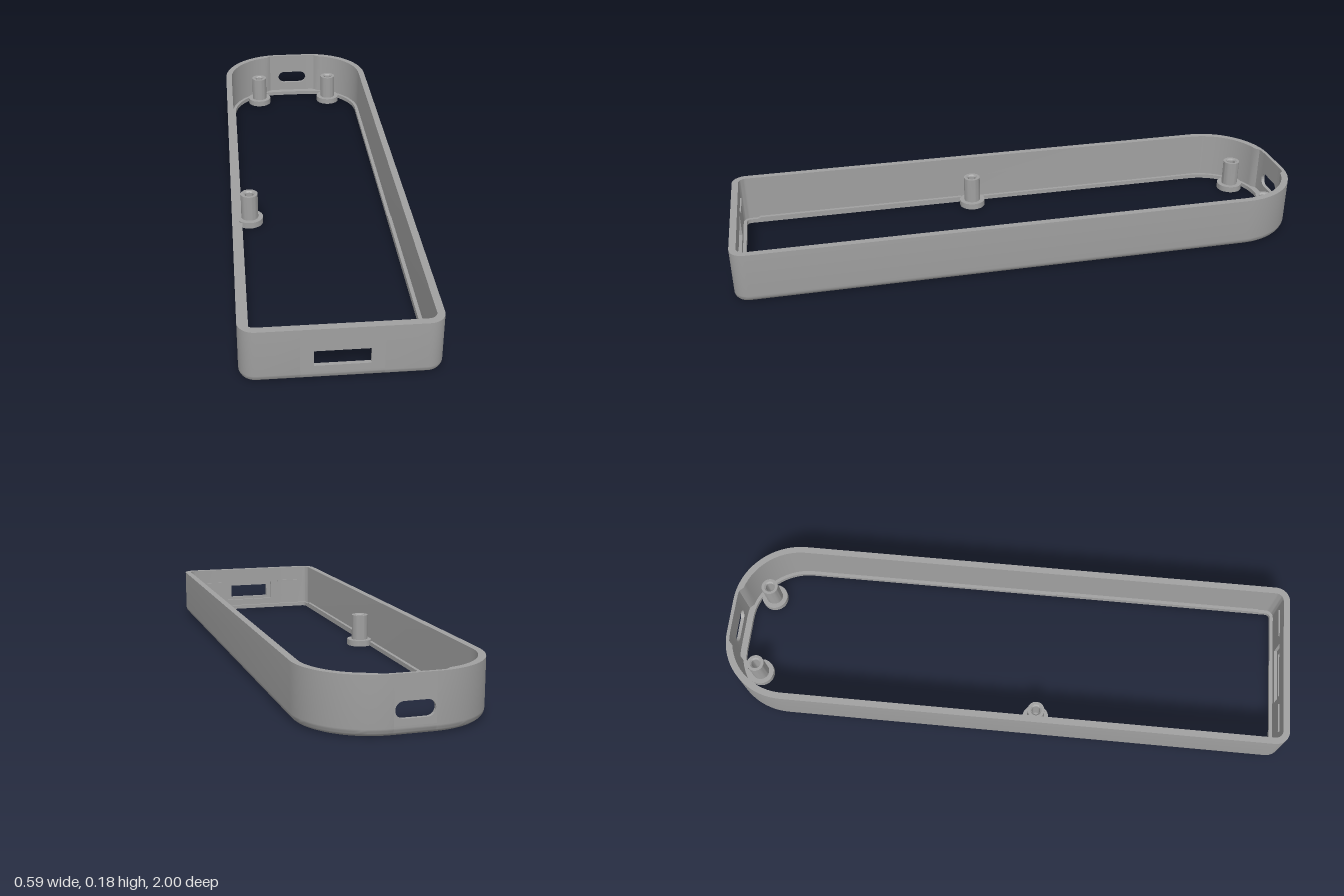
import * as THREE from 'three';
import { toCreasedNormals } from 'three/addons/utils/BufferGeometryUtils.js';

const H = 0.178, HALF_W = 0.293;
const WALL = 0.023, THIN = 0.012, LEDGE = 0.035, LEDGE_H = 0.015, SILL = 0.03;
const FRONT_WIN = 0.12, BACK_FLAT = 0.063, BACK_R = 0.23, FRONT_R = 0.05;

export function createModel() {
  const group = new THREE.Group();
  group.name = 'deviceFrame';
  const grey = new THREE.MeshStandardMaterial({ color: 0xa0a0a0 });
  grey.name = 'plasticGrey';

  const add = (name, geometry, x = 0, y = 0, z = 0) => {
    const mesh = new THREE.Mesh(geometry, grey);
    mesh.name = name;
    mesh.position.set(x, y, z);
    group.add(mesh);
    return mesh;
  };

  // Cross-section as [inset, y]: rounded bottom edge, wall, inner ledge
  const section = (thick, top) => {
    const r = 0.025, pts = [[LEDGE, 0]];
    for (let i = 0; i <= 6; i++) {
      const a = (i / 6) * Math.PI / 2;
      pts.push([r - r * Math.sin(a), r - r * Math.cos(a)]);
    }
    pts.push([0, top], [thick, top], [thick, LEDGE_H], [LEDGE, LEDGE_H], [LEDGE, 0]);
    return pts;
  };

  // Sweep a section along plan points {x, z, nx, nz, thick}
  const sweep = (path, top) => {
    const pos = [], idx = [];
    let n = 0;
    path.forEach((p, i) => {
      const pts = section(p.thick, top);
      n = pts.length;
      pts.forEach(([d, y]) => pos.push(p.x - p.nx * d, y, p.z - p.nz * d));
      if (i === 0) return;
      for (let j = 0; j < n - 1; j++) {
        const a = (i - 1) * n + j, b = i * n + j;
        idx.push(a, b, b + 1, a, b + 1, a + 1);
      }
    });
    const g = new THREE.BufferGeometry();
    g.setAttribute('position', new THREE.Float32BufferAttribute(pos, 3));
    g.setIndex(idx);
    return toCreasedNormals(g, 0.6);
  };

  // Plan of one side: small front corner, straight side, large rear corner
  const side = [{ x: FRONT_WIN, z: 1, nx: 0, nz: 1, thick: WALL }];
  const corner = (cx, cz, r, from, steps, rear) => {
    for (let i = 0; i <= steps; i++) {
      const a = from + (i / steps) * Math.PI / 2;
      const nx = Math.sin(a), nz = Math.cos(a), x = cx + r * nx;
      side.push({ x, z: cz + r * nz, nx, nz, thick: rear && x < 0.1 ? THIN : WALL });
    }
  };
  corner(HALF_W - FRONT_R, 1 - FRONT_R, FRONT_R, 0, 8, false);
  corner(BACK_FLAT, BACK_R - 1, BACK_R, Math.PI / 2, 20, true);
  add('leftWall', sweep(side, H));
  add('rightWall', sweep(side.map(p => ({ ...p, x: -p.x, nx: -p.nx })).reverse(), H));

  // Sills below the end openings
  const straight = (x, z, thick) => [-x, x].map(px => ({ x: px, z, nx: 0, nz: Math.sign(z), thick }));
  add('frontSill', sweep(straight(FRONT_WIN, 1, WALL), SILL));
  add('backSill', sweep(straight(-BACK_FLAT, -1, THIN), SILL));

  // End panels with openings
  const rect = (target, x, y0, y1) => {
    target.moveTo(-x, y0); target.lineTo(x, y0);
    target.lineTo(x, y1); target.lineTo(-x, y1); target.closePath();
    return target;
  };
  const panel = (name, halfWidth, hole, z, depth) => {
    const shape = rect(new THREE.Shape(), halfWidth, SILL, H);
    shape.holes.push(hole);
    const g = new THREE.ExtrudeGeometry(shape, { depth, bevelEnabled: false, curveSegments: 16 });
    return add(name, toCreasedNormals(g, 0.6), 0, 0, z);
  };
  panel('frontPanel', FRONT_WIN, rect(new THREE.Path(), 0.081, 0.052, 0.103), 1 - THIN, THIN);
  panel('frontPocket', FRONT_WIN, rect(new THREE.Path(), 0.1, 0.04, 0.115), 1 - WALL, WALL - THIN);

  const slot = new THREE.Path(), r = 0.025, cy = 0.0755, cx = 0.06 - r;
  slot.absarc(cx, cy, r, -Math.PI / 2, Math.PI / 2, false);
  slot.absarc(-cx, cy, r, Math.PI / 2, Math.PI * 1.5, false);
  panel('backPanel', BACK_FLAT, slot, -1, THIN);

  // Snap ribs inside the front wall, and raised front half of the side ledge
  for (const s of [-1, 1]) {
    add('snapRib', new THREE.BoxGeometry(0.1, 0.006, 0.006), s * 0.18, 0.118, 1 - WALL - 0.002);
    add('ledgeStep', new THREE.BoxGeometry(LEDGE - WALL, 0.005, 0.76),
      s * (HALF_W - (LEDGE + WALL) / 2), LEDGE_H + 0.0025, 0.54);
  }

  // Screw posts on round feet
  const profile = [[0, 0], [0.047, 0], [0.047, 0.022], [0.03, 0.022], [0.03, 0.115],
    [0.02, 0.115], [0.015, 0.11], [0.015, 0.03], [0, 0.03]].map(p => new THREE.Vector2(...p));
  const post = toCreasedNormals(new THREE.LatheGeometry(profile, 32), 0.6);
  for (const [x, z] of [[-0.15, -0.897], [0.15, -0.897], [-0.23, 0.122]]) add('screwPost', post, x, 0, z);

  return group;
}
